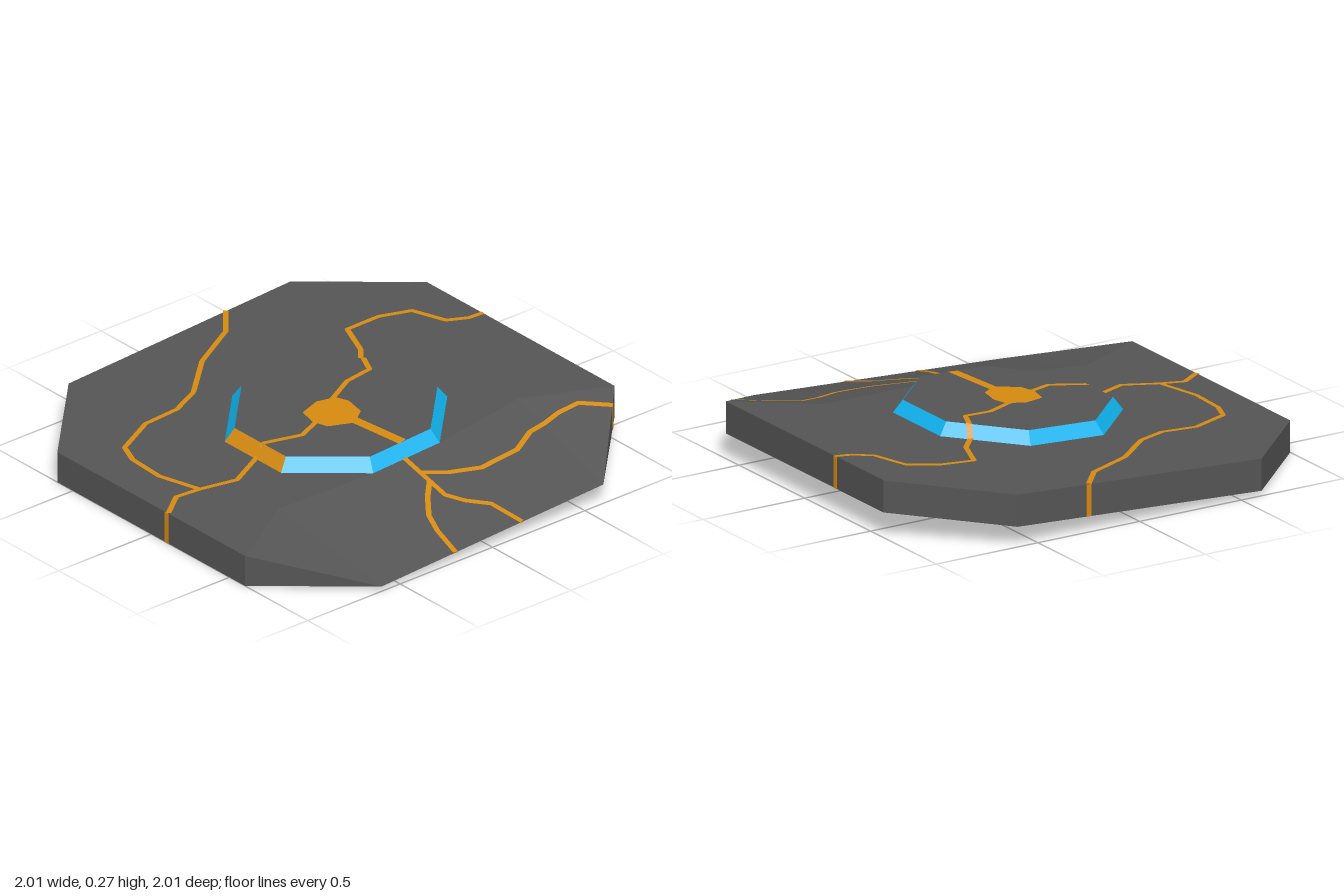
import * as THREE from 'three';

const SLOPE = 0.055, THICK = 0.14, LIFT = 0.055;
const mat = (color) => new THREE.MeshStandardMaterial({ color, side: THREE.DoubleSide, flatShading: true });
const clamp = THREE.MathUtils.clamp;

// Underside rim level: the whole tile leans up toward +x
const base = (x) => 0.055 + SLOPE * x;

// Deck height, with the front folding down to the rim and a raised centre
function deckY(x, z) {
  const a = Math.abs(x);
  const middle = (z - 0.45) / 0.55;
  const shoulder = (z - 0.45 + 0.1064 * (a - 0.18)) / 0.5947;
  const corner = (z - 0.4 - 0.5714 * (a - 0.65)) / 0.6286;
  const drop = clamp(Math.min(Math.max(middle, shoulder), corner), 0, 1);
  const r = Math.max(a, Math.abs(z), (a + Math.abs(z)) / 1.4);
  const rise = clamp((0.45 - r) / 0.04, 0, 1);
  return base(x) + THICK * (1 - drop) + LIFT * rise;
}

// Eight-sided outline from a half side length and an outer radius
const octagon = (s, r) => [
  [s, r], [r, s], [r, -s], [s, -r], [-s, -r], [-r, -s], [-r, s], [-s, r],
];

// Polygon in x/z laid onto the deck; shape y is -z so faces point up
function sheet(points, lift = 0) {
  const shape = new THREE.Shape(points.map(([x, z]) => new THREE.Vector2(x, -z)));
  const geo = new THREE.ShapeGeometry(shape);
  const p = geo.attributes.position;
  for (let i = 0; i < p.count; i++) {
    const x = p.getX(i), z = -p.getY(i);
    p.setXYZ(i, x, deckY(x, z) + lift, z);
  }
  geo.computeVertexNormals();
  return geo;
}

// Surface stretched between two equally long lines of 3D points
function loft(a, b) {
  const pos = [], idx = [];
  a.forEach((p, i) => {
    pos.push(...p, ...b[i]);
    if (i) idx.push(2 * i - 2, 2 * i - 1, 2 * i, 2 * i - 1, 2 * i + 1, 2 * i);
  });
  const geo = new THREE.BufferGeometry();
  geo.setAttribute('position', new THREE.Float32BufferAttribute(pos, 3));
  geo.setIndex(idx);
  geo.computeVertexNormals();
  return geo;
}

// Narrow band that follows the deck along a jagged path
function ribbon(points, width, lift) {
  const path = [];
  for (let i = 0; i < points.length - 1; i++) {
    const [x0, z0] = points[i], [x1, z1] = points[i + 1];
    const n = Math.ceil(Math.hypot(x1 - x0, z1 - z0) / 0.012);
    for (let k = 0; k < n; k++) path.push([x0 + (x1 - x0) * k / n, z0 + (z1 - z0) * k / n]);
  }
  path.push(points[points.length - 1]);
  const side = (s) => path.map(([x, z], i) => {
    const p = path[Math.max(i - 1, 0)], q = path[Math.min(i + 1, path.length - 1)];
    const dx = q[0] - p[0], dz = q[1] - p[1], len = Math.hypot(dx, dz);
    const px = x - s * dz / len * width / 2, pz = z + s * dx / len * width / 2;
    return [px, deckY(px, pz) + lift, pz];
  });
  return loft(side(-1), side(1));
}

export function createModel() {
  const group = new THREE.Group();
  const stone = mat(0x555555), glow = mat(0xd68a10), blue = mat(0x10b4f0);
  const add = (name, geo, material) => {
    const mesh = new THREE.Mesh(geo, material);
    mesh.name = name;
    group.add(mesh);
    return mesh;
  };

  // Level deck around the raised centre
  add('deck', sheet([
    [0.18, 0.45], [0.65, 0.4], [1, 0.6], [1, -0.6], [0.6, -1], [-0.6, -1], [-1, -0.6], [-1, 0.6],
    [-0.65, 0.4], [-0.18, 0.45], [-0.45, 0.18], [-0.45, -0.18], [-0.18, -0.45],
    [0.18, -0.45], [0.45, -0.18], [0.45, 0.18],
  ]), stone);

  // Folded-down front
  add('frontSlope', sheet([[-0.18, 0.45], [0.18, 0.45], [0.6, 1], [-0.6, 1]]), stone);
  for (const s of [1, -1]) {
    add('frontShoulder', sheet([[s * 0.18, 0.45], [s * 0.65, 0.4], [s * 0.6, 1]]), stone);
    add('frontCorner', sheet([[s * 0.65, 0.4], [s, 0.6], [s * 0.6, 1]]), stone);
  }

  // Rim walls; the underside stays open
  const rim = octagon(0.6, 1);
  rim.forEach(([x, z], i) => {
    const [u, w] = rim[(i + 1) % 8];
    if (z === 1 && w === 1) return;
    add('rimWall', loft(
      [[x, deckY(x, z), z], [u, deckY(u, w), w]],
      [[x, base(x), z], [u, base(u), w]],
    ), stone);
  });

  // Raised centre: sloped coloured sides and a flat cap
  const foot = octagon(0.18, 0.45), top = octagon(0.164, 0.41);
  const at = ([x, z], lift) => [x, base(x) + THICK + lift, z];
  foot.forEach((p, i) => {
    const j = (i + 1) % 8;
    add('platformSide', loft([at(top[i], LIFT), at(top[j], LIFT)], [at(p, 0), at(foot[j], 0)]),
      i === 5 ? glow : blue);
  });
  add('platformCap', sheet(top), stone);

  // Glowing veins, visible on both faces of the deck
  const thin = 0.023;
  const veins = [
    [thin, [[0.25, -1], [0.14, -0.87], [-0.09, -0.75], [-0.28, -0.58], [-0.42, -0.52], [-0.59, -0.52],
      [-0.78, -0.43], [-0.82, -0.33], [-0.83, -0.15], [-0.78, 0.05]]],
    [thin, [[-1, 0.11], [-0.89, 0.03], [-0.78, 0.05], [-0.62, 0.1], [-0.43, 0.01], [-0.25, 0.08], [-0.12, 0.03]]],
    [thin, [[0.03, -0.06], [0.17, -0.13], [0.3, -0.14], [0.36, -0.27], [0.44, -0.36], [0.51, -0.53],
      [0.67, -0.52], [0.8, -0.46], [0.85, -0.3], [0.93, -0.25], [1, -0.24]]],
    [0.045, [[-0.02, 0.1], [0.01, 0.41]]],
    [thin, [[-0.01, 0.45], [-0.01, 0.71], [0.04, 0.78], [0.12, 0.85], [0.16, 1]]],
    [thin, [[-0.01, 0.61], [-0.08, 0.68], [-0.15, 0.77], [-0.18, 0.86], [-0.2, 1]]],
    [thin, [[-0.01, 0.55], [0.09, 0.61], [0.23, 0.66], [0.43, 0.65], [0.55, 0.59], [0.72, 0.57],
      [0.82, 0.58], [0.92, 0.68]]],
  ];
  const hub = [[-0.03, -0.09], [0.05, -0.06], [0.07, 0], [0.05, 0.1], [-0.03, 0.155], [-0.13, 0.1],
    [-0.15, 0.03], [-0.13, -0.06]];
  for (const lift of [0.003, -0.003]) {
    for (const [width, points] of veins) add('vein', ribbon(points, width, lift), glow);
    add('hub', sheet(hub, lift), glow);
  }

  // Vein ends running down the rim walls
  for (const [x, z, turn] of [[0.25, -1, 0], [-1, 0.1, Math.PI / 2], [1, -0.235, Math.PI / 2], [0.925, 0.675, Math.PI / 4]]) {
    const h = deckY(x, z) - base(x);
    const end = add('veinEnd', new THREE.BoxGeometry(0.023, h, 0.005), glow);
    end.position.set(x, base(x) + h / 2, z);
    end.rotation.y = turn;
  }
  return group;
}
